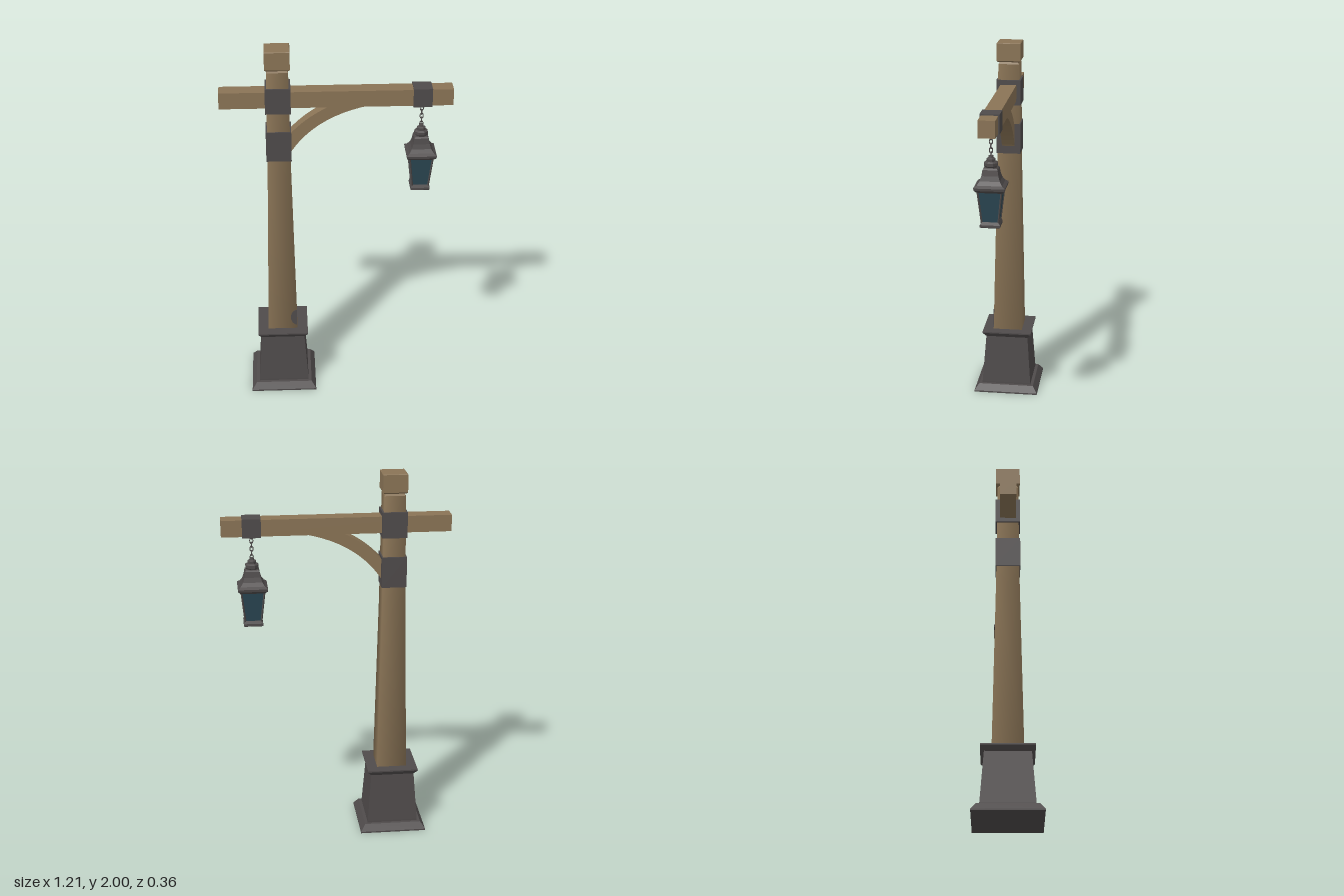
import * as THREE from 'three';

const wood = new THREE.MeshStandardMaterial({ color: 0x8a7456 });
wood.name = 'wood';
const iron = new THREE.MeshStandardMaterial({ color: 0x4f4b4b });
iron.name = 'iron';
const glass = new THREE.MeshStandardMaterial({ color: 0x2b4753 });
glass.name = 'glass';

const POST_X = -0.3, LAMP_X = 0.445;

function add(parent, name, geometry, material, x = 0, y = 0, z = 0) {
  const mesh = new THREE.Mesh(geometry, material);
  mesh.name = name;
  mesh.position.set(x, y, z);
  parent.add(mesh);
  return mesh;
}

// Turned profile of [halfWidth, y] pairs, closed at both ends.
function turned(profile, sides) {
  const k = sides === 4 ? Math.SQRT2 : 1;
  const pts = profile.map(([r, y]) => new THREE.Vector2(r * k, y));
  pts.unshift(new THREE.Vector2(0, pts[0].y));
  pts.push(new THREE.Vector2(0, pts[pts.length - 1].y));
  return new THREE.LatheGeometry(pts, sides, Math.PI / sides);
}

function faceted(profile, sides = 4) {
  const g = turned(profile, sides).toNonIndexed();
  g.computeVertexNormals();
  return g;
}

// Thin square bar between two points.
function bar(parent, name, a, b, radius) {
  const dir = b.clone().sub(a);
  const g = new THREE.CylinderGeometry(radius, radius, dir.length(), 4).toNonIndexed();
  g.computeVertexNormals();
  const mesh = add(parent, name, g, iron);
  mesh.position.copy(a).add(b).multiplyScalar(0.5);
  mesh.quaternion.setFromUnitVectors(new THREE.Vector3(0, 1, 0), dir.normalize());
}

function createPost() {
  const post = new THREE.Group();
  post.name = 'post';
  post.position.x = POST_X;
  // Stepped metal foot
  add(post, 'pedestal', faceted([
    [0.18, 0], [0.18, 0.008], [0.155, 0.043], [0.138, 0.043], [0.138, 0.052],
    [0.118, 0.325], [0.124, 0.332], [0.138, 0.35], [0.138, 0.357]]), iron);
  // Tapered timber shaft with soft shading
  add(post, 'shaft', turned([[0.081, 0.355], [0.062, 1.3], [0.056, 1.885]], 4), wood);
  add(post, 'shaftNeck', faceted([[0.056, 1.884], [0.046, 1.902]]), wood);
  add(post, 'postCap', faceted([[0.058, 1.897], [0.065, 1.904], [0.065, 1.997], [0.062, 2]]), wood);
  // Metal collars
  add(post, 'upperCollar', new THREE.BoxGeometry(0.132, 0.138, 0.132), iron, 0, 1.731, 0);
  add(post, 'lowerCollar', new THREE.BoxGeometry(0.132, 0.166, 0.132), iron, 0, 1.476, 0);
  // Half-round plate set at the front corner
  const half = new THREE.Shape();
  half.absellipse(0, 0, 0.034, 0.048, Math.PI / 2, Math.PI * 1.5, false);
  const plate = add(post, 'cornerPlate',
    new THREE.ExtrudeGeometry(half, { depth: 0.004, bevelEnabled: false, curveSegments: 6 }),
    iron, 0.079, 0.428, 0.078);
  plate.rotation.x = -0.02;
  return post;
}

function createArm() {
  const arm = new THREE.Group();
  arm.name = 'arm';
  add(arm, 'beam', new THREE.BoxGeometry(1.205, 0.088, 0.086), wood, 0, 1.73, 0);
  add(arm, 'beamClasp', new THREE.BoxGeometry(0.098, 0.1, 0.1), iron, LAMP_X, 1.73, 0);
  // Curved brace
  const s = new THREE.Shape();
  s.moveTo(-0.25, 1.41);
  s.bezierCurveTo(-0.17, 1.55, -0.03, 1.65, 0.175, 1.69);
  s.lineTo(-0.03, 1.69);
  s.quadraticCurveTo(-0.16, 1.63, -0.25, 1.525);
  add(arm, 'brace', new THREE.ExtrudeGeometry(s, { depth: 0.07, bevelEnabled: false, curveSegments: 12 }),
    wood, 0, 0, -0.035);
  return arm;
}

function createLantern() {
  const lantern = new THREE.Group();
  lantern.name = 'lantern';
  lantern.position.x = LAMP_X;
  // Chain links alternate direction
  for (let i = 0; i < 6; i++) {
    const link = add(lantern, 'chainLink', new THREE.TorusGeometry(0.0085, 0.0026, 5, 10),
      iron, 0, 1.566 + i * 0.022, 0);
    link.scale.y = 1.6;
    link.rotation.y = (i % 2) * Math.PI / 2;
  }
  add(lantern, 'finial', faceted([
    [0.032, 1.49], [0.032, 1.505], [0.037, 1.511], [0.037, 1.526], [0.028, 1.533],
    [0.024, 1.533], [0.024, 1.546], [0.014, 1.552], [0.012, 1.562]], 8), iron);
  // Flared roof
  add(lantern, 'roof', faceted([
    [0.062, 1.383], [0.077, 1.397], [0.079, 1.41], [0.064, 1.421], [0.051, 1.44],
    [0.043, 1.465], [0.038, 1.495], [0.032, 1.502]]), iron);
  add(lantern, 'panes', faceted([[0.042, 1.222], [0.06, 1.387]]), glass);
  for (const x of [-1, 1]) for (const z of [-1, 1]) {
    bar(lantern, 'frameBar', new THREE.Vector3(0.042 * x, 1.222, 0.042 * z),
      new THREE.Vector3(0.06 * x, 1.387, 0.06 * z), 0.005);
  }
  add(lantern, 'lanternFoot', faceted([
    [0.046, 1.196], [0.051, 1.2], [0.051, 1.212], [0.044, 1.227]]), iron);
  return lantern;
}

export function createModel() {
  const model = new THREE.Group();
  model.name = 'lampPost';
  model.add(createPost(), createArm(), createLantern());
  return model;
}
